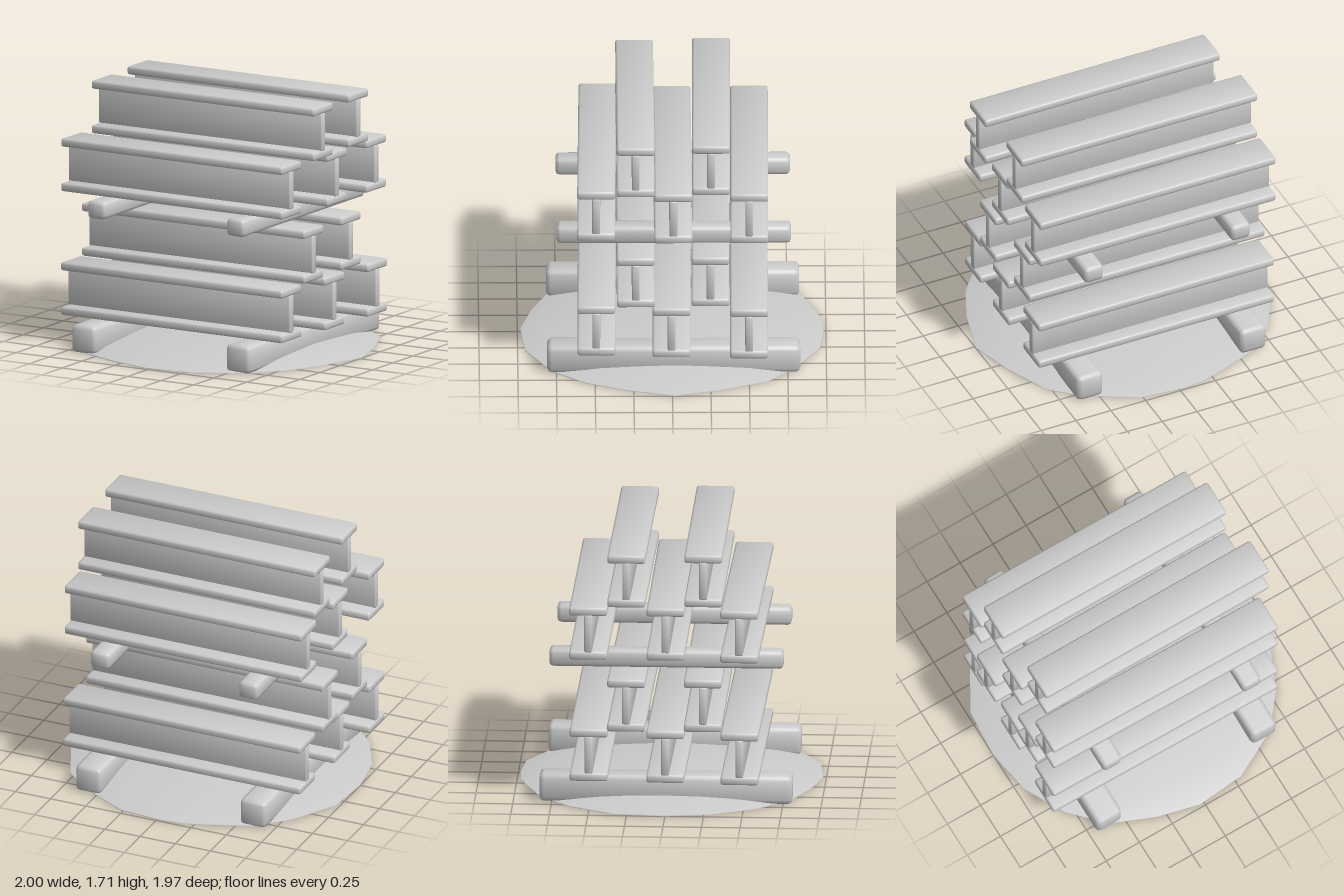
import * as THREE from 'three';
import { RoundedBoxGeometry } from 'three/addons/geometries/RoundedBoxGeometry.js';

const grey = new THREE.MeshStandardMaterial({ color: 0xcccccc });
grey.name = 'plain grey';

// Box with narrow bevels whose normals blend softly over the faces
function softBox(w, h, d, bevel) {
  const g = new RoundedBoxGeometry(w, h, d, 1, bevel);
  const p = g.attributes.position, n = g.attributes.normal;
  const v = new THREE.Vector3();
  for (let i = 0; i < p.count; i++) {
    v.fromBufferAttribute(n, i);
    v.x += 0.3 * Math.sign(p.getX(i));
    v.y += 0.3 * Math.sign(p.getY(i));
    v.z += 0.3 * Math.sign(p.getZ(i));
    v.normalize();
    n.setXYZ(i, v.x, v.y, v.z);
  }
  return g;
}

function part(name, geometry, x, y, z) {
  const mesh = new THREE.Mesh(geometry, grey);
  mesh.name = name;
  mesh.position.set(x, y, z);
  return mesh;
}

// I-beam lying along x, standing on y = 0
const LENGTH = 1.69, HEIGHT = 0.35, FLANGE = 0.055;
const flangeGeo = softBox(LENGTH, FLANGE, 0.245, 0.014);
const webGeo = softBox(LENGTH, HEIGHT - 2 * FLANGE + 0.01, 0.05, 0.008);
function makeBeam() {
  const beam = new THREE.Group();
  beam.name = 'beam';
  beam.add(
    part('bottomFlange', flangeGeo, 0, FLANGE / 2, 0),
    part('web', webGeo, 0, HEIGHT / 2, 0),
    part('topFlange', flangeGeo, 0, HEIGHT - FLANGE / 2, 0)
  );
  return beam;
}

// Low earth mound with an irregular rim
function moundGeometry() {
  const rim = [
    [1, -0.02], [0.91, 0.31], [0.8, 0.56], [0.62, 0.78], [0.3, 0.95], [-0.03, 0.98], [-0.31, 0.91],
    [-0.6, 0.79], [-0.81, 0.57], [-0.95, 0.3], [-1, 0], [-0.975, -0.33], [-0.8, -0.63], [-0.6, -0.82],
    [-0.31, -0.93], [-0.17, -0.975], [0, -0.985], [0.27, -0.96], [0.6, -0.78], [0.78, -0.62], [0.92, -0.3]
  ];
  const rings = [[1, 0.003], [1, 0.01], [0.82, 0.045], [0.52, 0.08], [0.2, 0.098]]; // scale, height
  const n = rim.length, pos = [], idx = [];
  for (const [s, y] of rings) for (const [x, z] of rim) pos.push(x * s, y, z * s);
  const top = pos.length / 3;
  pos.push(0, 0.1, 0);
  for (const [x, z] of rim) pos.push(x, 0.003, z);
  pos.push(0, 0.003, 0);
  const bottom = top + 1, centre = bottom + n;
  for (let i = 0; i < n; i++) {
    const j = (i + 1) % n;
    for (let r = 0; r < rings.length - 1; r++) {
      const a = r * n + i, b = r * n + j;
      idx.push(a, a + n, b, b, a + n, b + n);
    }
    const last = (rings.length - 1) * n;
    idx.push(top, last + j, last + i);
    idx.push(centre, bottom + i, bottom + j);
  }
  const g = new THREE.BufferGeometry();
  g.setAttribute('position', new THREE.Float32BufferAttribute(pos, 3));
  g.setIndex(idx);
  g.computeVertexNormals();
  return g;
}

export function createModel() {
  const model = new THREE.Group();
  model.name = 'beamStack';
  model.add(part('groundMound', moundGeometry(), 0, 0, 0));

  // Timber sleepers under each pair of layers
  const lowGeo = softBox(0.185, 0.185, 1.64, 0.03);
  const highGeo = softBox(0.137, 0.117, 1.52, 0.026);
  for (const x of [-0.608, 0.563]) model.add(part('lowerSleeper', lowGeo, x, 0.0975, -0.01));
  for (const x of [-0.547, 0.507]) model.add(part('upperSleeper', highGeo, x, 0.95, -0.01));

  // Layers of beams: base height, then [x, z, yaw] for each beam
  const layers = [
    [0.19, [[-0.062, 0.485, -0.009], [-0.03, 0, -0.006], [-0.01, -0.5, -0.003]]],
    [0.54, [[-0.047, 0.238, 0.002], [-0.06, -0.252, -0.006]]],
    [1.01, [[-0.06, 0.485, -0.011], [-0.018, -0.005, 0.002], [-0.02, -0.502, -0.004]]],
    [1.36, [[0.025, 0.238, 0.001], [-0.005, -0.255, -0.005]]]
  ];
  for (const [y, beams] of layers) {
    for (const [x, z, yaw] of beams) {
      const beam = makeBeam();
      beam.position.set(x, y, z);
      beam.rotation.y = yaw;
      model.add(beam);
    }
  }
  return model;
}
